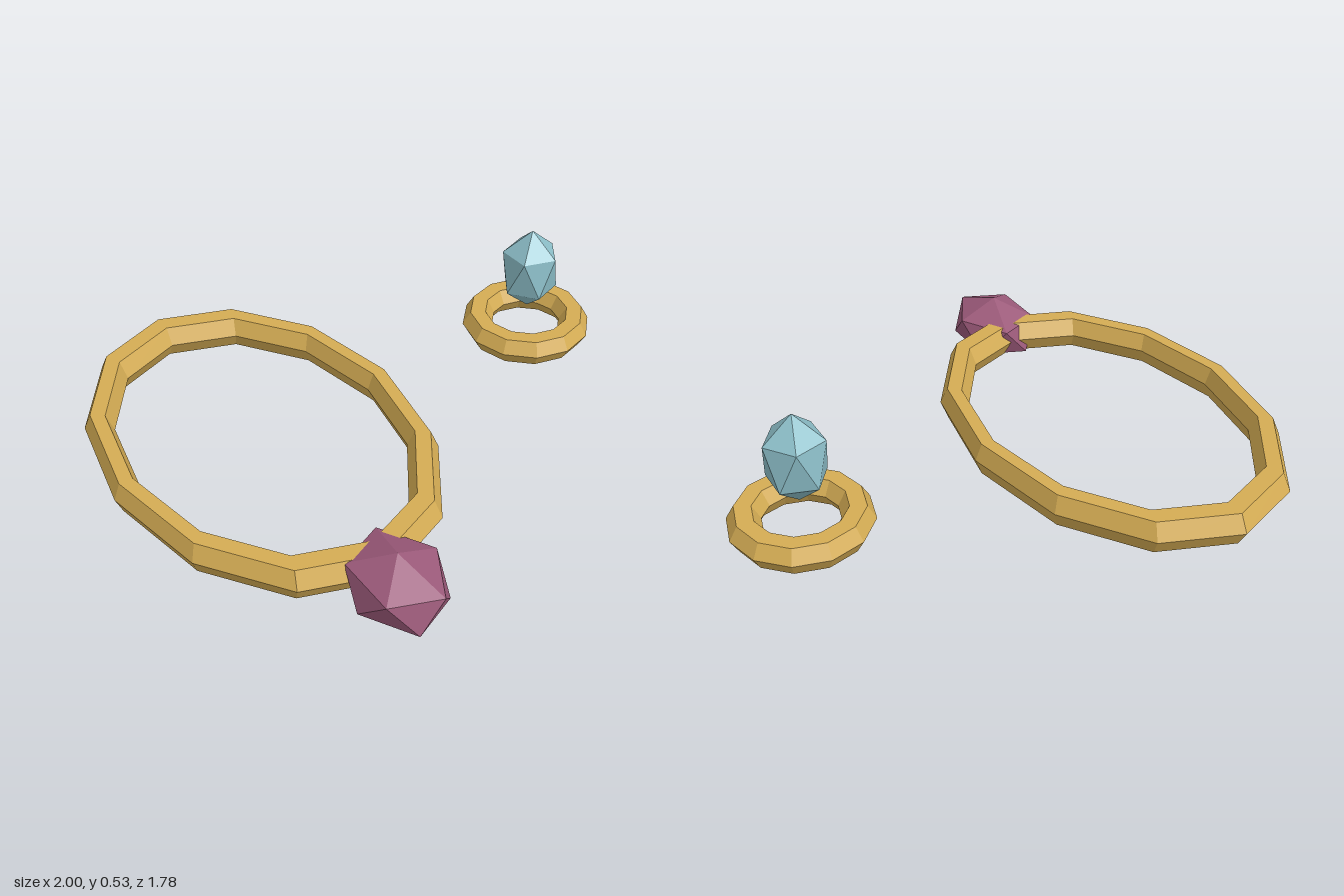
import * as THREE from 'three';
import { ConvexGeometry } from 'three/addons/geometries/ConvexGeometry.js';

const material = (name, color) => {
  const m = new THREE.MeshStandardMaterial({ color, flatShading: true });
  m.name = name;
  return m;
};

// Hexagonal-section band lying flat, stretched in y and z
function band(name, mat, radius, tube, stretchY, stretchZ, position) {
  const geo = new THREE.TorusGeometry(radius, tube, 6, 12);
  geo.rotateX(Math.PI / 2);
  geo.scale(1, stretchY, stretchZ);
  const mesh = new THREE.Mesh(geo, mat);
  mesh.name = name;
  mesh.position.set(...position);
  return mesh;
}

// Twenty-sided gem: two poles and two staggered rings of five
function gem(name, mat, rx, halfHeight, rz, position) {
  const points = [
    new THREE.Vector3(0, halfHeight, 0),
    new THREE.Vector3(0, -halfHeight, 0),
  ];
  const ringY = halfHeight / Math.sqrt(5);
  for (let i = 0; i < 5; i++) {
    const a = (i * Math.PI * 2) / 5;
    const x = Math.cos(a) * rx, z = Math.sin(a) * rz;
    points.push(new THREE.Vector3(x, ringY, z), new THREE.Vector3(-x, -ringY, -z));
  }
  const mesh = new THREE.Mesh(new ConvexGeometry(points), mat);
  mesh.name = name;
  mesh.position.set(...position);
  return mesh;
}

export function createModel() {
  const gold = material('gold', 0xd4ac54);
  const purple = material('purple gem', 0x9c5a7a);
  const blue = material('blue gem', 0x8cbec8);

  const model = new THREE.Group();
  model.name = 'jewellery';

  // Large oval loop with its pendant stone
  const necklace = new THREE.Group();
  necklace.name = 'necklace';
  necklace.add(
    band('necklaceLoop', gold, 0.502, 0.048, 1.47, 1.43, [-0.45, 0.122, -0.105]),
    gem('pendantGem', purple, 0.149, 0.12, 0.19, [-0.45, 0.12, 0.71]),
  );

  // Finger ring with a stone above it
  const ring = new THREE.Group();
  ring.name = 'ring';
  ring.add(
    band('ringBand', gold, 0.188, 0.058, 1, 1, [0.75, 0.125, -0.105]),
    gem('ringGem', blue, 0.105, 0.165, 0.105, [0.75, 0.365, -0.105]),
  );

  model.add(necklace, ring);
  return model;
}
